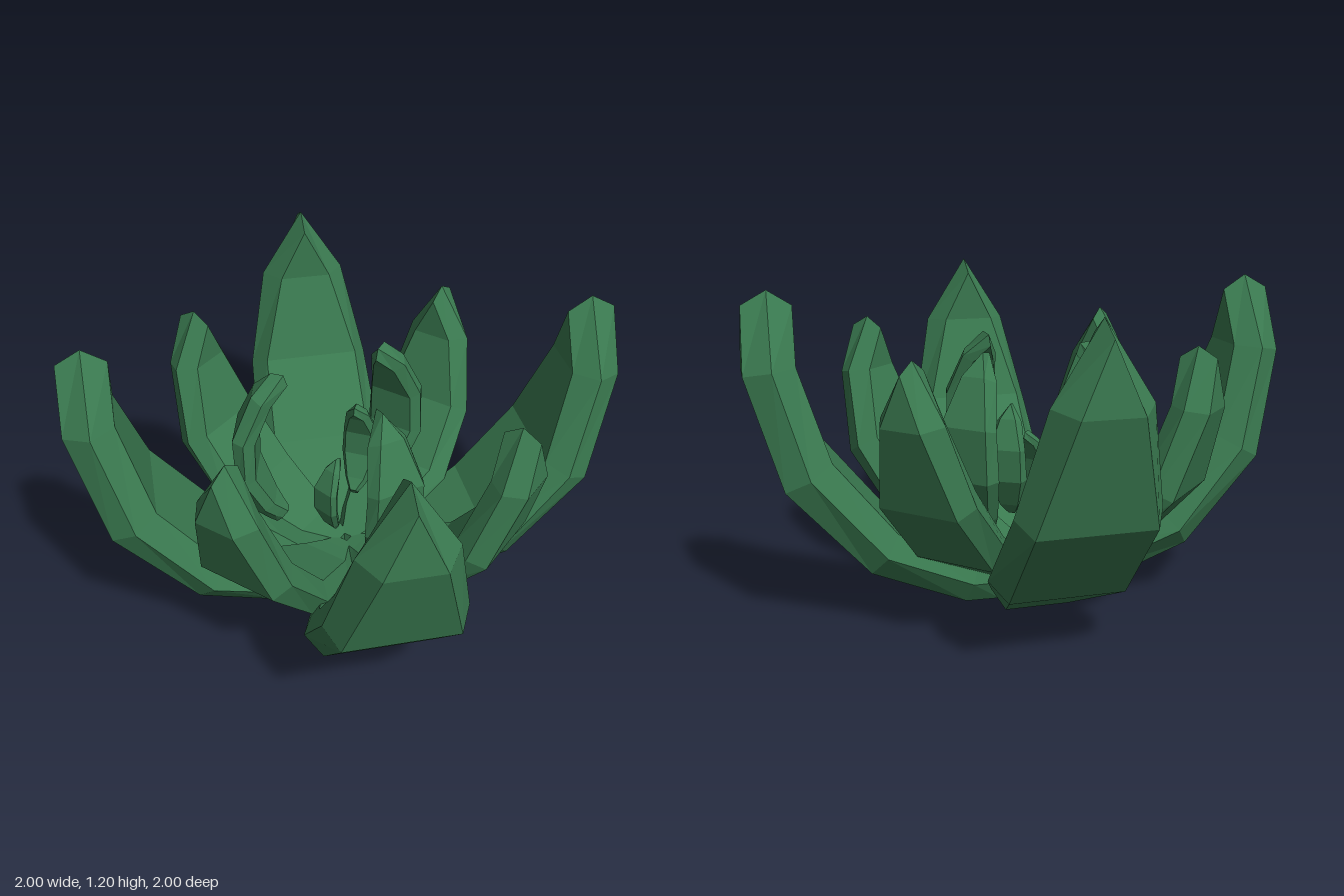
import * as THREE from 'three';

// Petal cross-sections from base to tip.
// Each is [radius, height, half width] for the outer, middle and inner edges.
const SECTIONS = [
  [[0.02, 0.0, 0.04], [0.02, 0.08, 0.06], [0.02, 0.15, 0.04]],
  [[0.1, 0.005, 0.07], [0.1, 0.085, 0.11], [0.09, 0.165, 0.07]],
  [[0.24, 0.03, 0.12], [0.22, 0.11, 0.17], [0.19, 0.19, 0.12]],
  [[0.6, 0.21, 0.205], [0.55, 0.28, 0.265], [0.5, 0.345, 0.2]],
  [[0.885, 0.53, 0.2], [0.8, 0.575, 0.245], [0.72, 0.62, 0.19]],
  [[1.0, 0.92, 0.1], [0.905, 0.94, 0.165], [0.82, 0.945, 0.1]],
  [[0.99, 1.15, 0], [0.9, 1.2, 0], [0.815, 1.145, 0]],
];

// Six-sided curved petal, growing from the origin towards +z and up
function petalGeometry() {
  const positions = [];
  const index = [];
  for (const [outer, mid, inner] of SECTIONS) {
    const ring = [[outer, -1], [outer, 1], [mid, 1], [inner, 1], [inner, -1], [mid, -1]];
    for (const [[r, y, w], side] of ring) positions.push(side * w, y, r);
  }
  for (let s = 0; s < SECTIONS.length - 1; s++) {
    for (let i = 0; i < 6; i++) {
      const a = s * 6 + i;
      const b = s * 6 + ((i + 1) % 6);
      index.push(a, b, b + 6, a, b + 6, a + 6);
    }
  }
  for (let i = 1; i < 5; i++) index.push(0, i + 1, i); // base cap
  const geometry = new THREE.BufferGeometry();
  geometry.setAttribute('position', new THREE.Float32BufferAttribute(positions, 3));
  geometry.setIndex(index);
  geometry.computeVertexNormals();
  return geometry;
}

export function createModel() {
  const model = new THREE.Group();
  model.name = 'succulent';
  const geometry = petalGeometry();
  const material = new THREE.MeshStandardMaterial({ color: 0x3a7a50, flatShading: true });

  // Turn and tilt are in degrees; tilt leans the petal in towards the centre
  function addPetal(name, turn, scale, height, radius = 0, tilt = 0) {
    const pivot = new THREE.Group();
    pivot.name = name;
    pivot.rotation.y = THREE.MathUtils.degToRad(turn);
    const petal = new THREE.Mesh(geometry, material);
    petal.name = name + 'Blade';
    petal.scale.setScalar(scale);
    petal.position.set(0, height, radius);
    petal.rotation.x = -THREE.MathUtils.degToRad(tilt);
    pivot.add(petal);
    model.add(pivot);
  }

  // Outer cross of large petals, with medium petals on the diagonals
  for (let i = 0; i < 4; i++) {
    addPetal('outerPetal', i * 90, 1, 0);
    addPetal('middlePetal', 45 + i * 90, 0.77, 0.1);
  }

  // Three small petals curling inwards
  for (let i = 0; i < 3; i++) addPetal('innerPetal', 16 + i * 120, 0.45, 0.3, 0.26, 40);

  // Two young petals at the heart
  addPetal('heartPetal', 150, 0.28, 0.35, 0.11, 38);
  addPetal('heartPetal', -56, 0.22, 0.3, 0.06, 42);

  return model;
}
